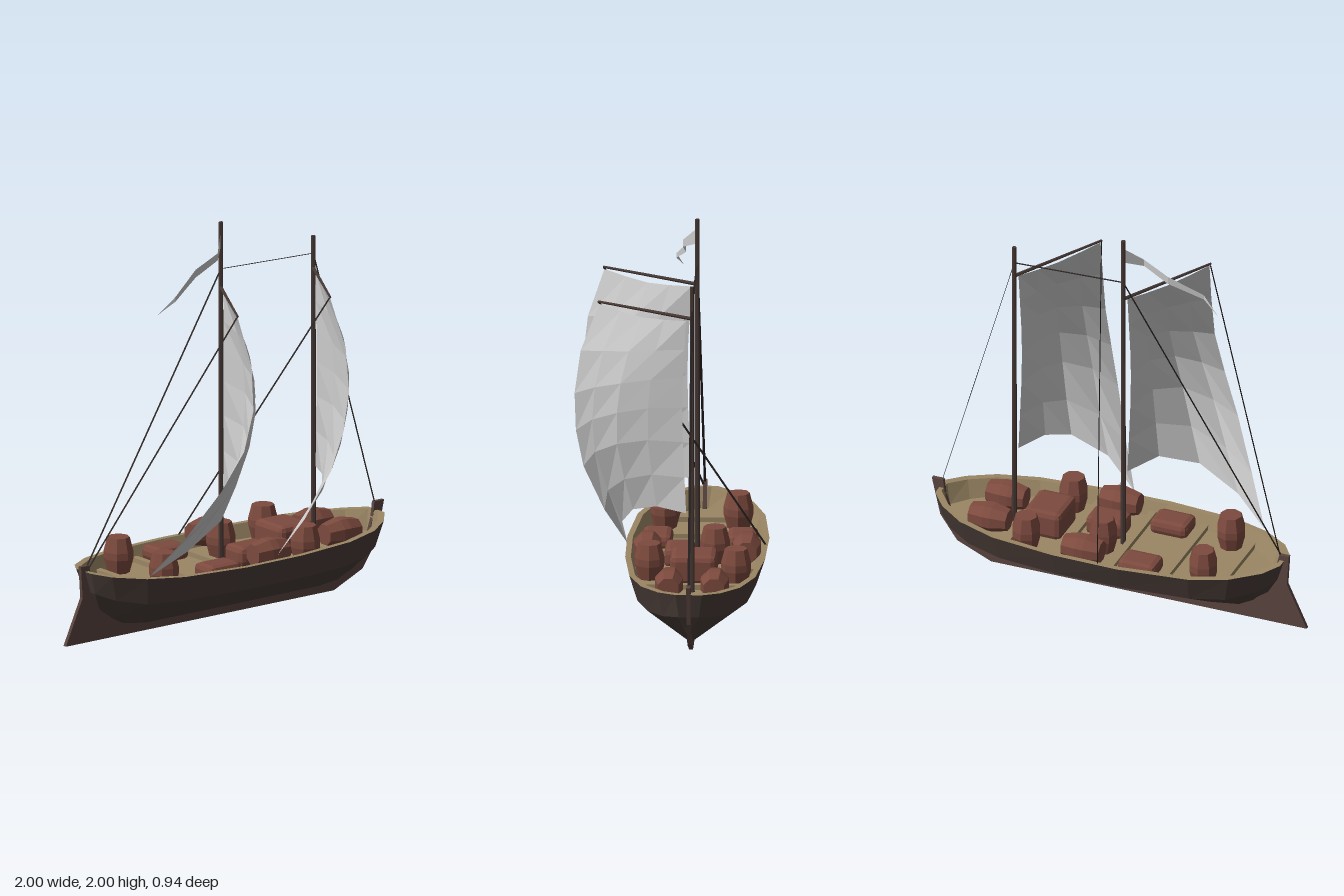
import * as THREE from 'three';
import { RoundedBoxGeometry } from 'three/addons/geometries/RoundedBoxGeometry.js';

const MID = -0.12; // z of the hull's centre line
const DECK = 0.26;
const V = (x, y, z) => new THREE.Vector3(x, y, z);
const mat = (color, side = THREE.FrontSide) => new THREE.MeshStandardMaterial({ color, flatShading: true, side });

// Surface through rows of points; rows may be closed loops
function loft(rows, closed = false) {
  const n = rows[0].length, idx = [];
  for (let r = 0; r < rows.length - 1; r++) {
    for (let i = 0; i < (closed ? n : n - 1); i++) {
      const j = (i + 1) % n, a = r * n + i, b = r * n + j, c = b + n, d = a + n;
      idx.push(a, b, c, a, c, d);
    }
  }
  const g = new THREE.BufferGeometry().setFromPoints(rows.flat());
  g.setIndex(idx);
  g.computeVertexNormals();
  return g;
}

// Closed ring round the hull from [x, y, halfWidth] stations
const ring = (st) => [
  ...st.map(([x, y, w]) => V(x, y, MID + w)),
  ...[...st].reverse().map(([x, y, w]) => V(x, y, MID - w)),
];

export function createModel() {
  const model = new THREE.Group();
  const hullMat = mat(0x4a3d38), keelMat = mat(0x5a4540), deckMat = mat(0x9a8664);
  const cargoMat = mat(0x7d4a3e), mastMat = mat(0x463833);
  const sailMat = mat(0xcccccc, THREE.DoubleSide), ropeMat = mat(0x2a2422, THREE.DoubleSide);
  const add = (name, geo, m, x = 0, y = 0, z = 0) => {
    const mesh = new THREE.Mesh(geo, m);
    mesh.name = name;
    mesh.position.set(x, y, z);
    model.add(mesh);
    return mesh;
  };

  // Hull outlines: bottom, chine and rim
  const rim = [[-0.88, 0.362, 0.06], [-0.82, 0.353, 0.15], [-0.68, 0.342, 0.25], [-0.49, 0.335, 0.315], [-0.13, 0.33, 0.35],
    [0.22, 0.33, 0.345], [0.55, 0.335, 0.31], [0.75, 0.343, 0.245], [0.88, 0.353, 0.155], [0.955, 0.364, 0.065]];
  const chine = [[-0.845, 0.25, 0.045], [-0.775, 0.22, 0.125], [-0.65, 0.2, 0.215], [-0.48, 0.2, 0.272], [-0.13, 0.2, 0.302],
    [0.22, 0.2, 0.302], [0.53, 0.2, 0.27], [0.72, 0.205, 0.208], [0.845, 0.22, 0.13], [0.925, 0.24, 0.05]];
  const bottom = [[-0.78, 0.14, 0], [-0.71, 0.09, 0], [-0.64, 0.052, 0], [-0.5, 0.032, 0], [-0.13, 0.032, 0],
    [0.22, 0.032, 0], [0.6, 0.032, 0], [0.7, 0.042, 0], [0.79, 0.08, 0], [0.88, 0.14, 0]];
  const inset = (d, y) => rim.map(([x, ry, w]) => [0.04 + (x - 0.04) * (1 - d * 0.9), y ?? ry, Math.max(w - d, 0.018)]);
  add('hull', loft([bottom, chine, rim].map(ring), true), hullMat);

  // Gunwale, inner wall and deck floor
  const floor = inset(0.055, DECK);
  add('deck', loft([rim, inset(0.028), floor, floor.map(([x, y]) => [x, y, 0])].map(ring), true), deckMat);
  [[-0.62, 0.235], [-0.34, 0.285], [-0.055, 0.3], [0.23, 0.295], [0.51, 0.265]].forEach(([x, w]) =>
    add('crossBeam', new THREE.BoxGeometry(0.035, 0.025, 2 * w), deckMat, x, DECK + 0.012, MID));

  // Keel, stem post and rudder in one thin plate
  const plate = new THREE.Shape([[-1, 0], [0.68, 0], [0.86, 0.08], [0.95, 0.21], [0.995, 0.41], [0.935, 0.41], [0.925, 0.33],
    [0.87, 0.16], [0.68, 0.06], [-0.5, 0.06], [-0.74, 0.14], [-0.82, 0.26], [-0.855, 0.39], [-0.905, 0.39], [-0.895, 0.23]]
    .map(([x, y]) => new THREE.Vector2(x, y)));
  add('keel', new THREE.ExtrudeGeometry(plate, { depth: 0.02, bevelEnabled: false }), keelMat, 0, 0, MID - 0.01);

  // Masts and yards
  const pole = (name, a, b, r0, r1) => {
    const m = add(name, new THREE.CylinderGeometry(r1, r0, a.distanceTo(b), 6), mastMat);
    m.position.copy(a).lerp(b, 0.5);
    m.quaternion.setFromUnitVectors(V(0, 1, 0), b.clone().sub(a).normalize());
  };
  [[-0.02, 2], [0.56, 1.83]].forEach(([x, top]) => {
    pole('mast', V(x, DECK, MID), V(x, top, MID), 0.013, 0.011);
    pole('yard', V(x, 1.665, MID), V(x - 0.27, 1.665, 0.355), 0.009, 0.006);
  });

  // Sails: patch between four edge curves, with a slight billow
  const curve = (pts) => new THREE.CatmullRomCurve3(pts.map((p) => V(...p)));
  function sail(mx, leech, foot) {
    const luff = curve([[mx - 0.01, 1.65, -0.09], [mx - 0.02, 1.2, -0.07], [mx - 0.01, 0.66, -0.09]]);
    const outer = curve(leech);
    const A = luff.getPoint(0), B = outer.getPoint(0), C = luff.getPoint(1), D = outer.getPoint(1);
    const head = curve([A.toArray(), A.clone().lerp(B, 0.5).add(V(0.01, -0.022, 0)).toArray(), B.toArray()]);
    const low = curve([C.toArray(), ...foot, D.toArray()]);
    const rows = [], N = 6, M = 4;
    for (let r = 0; r <= N; r++) {
      const v = r / N, row = [];
      for (let c = 0; c <= M; c++) {
        const u = c / M;
        const p = luff.getPoint(v).multiplyScalar(1 - u).addScaledVector(outer.getPoint(v), u)
          .addScaledVector(head.getPoint(u), 1 - v).addScaledVector(low.getPoint(u), v)
          .addScaledVector(A, -(1 - u) * (1 - v)).addScaledVector(B, -u * (1 - v))
          .addScaledVector(C, -(1 - u) * v).addScaledVector(D, -u * v);
        p.x += 0.02 * Math.sin(Math.PI * u) * Math.sin(Math.PI * v);
        row.push(p);
      }
      rows.push(row);
    }
    add('sail', loft(rows), sailMat);
  }
  sail(-0.02,
    [[-0.285, 1.655, 0.35], [-0.262, 1.42, 0.43], [-0.27, 1.2, 0.455], [-0.325, 1, 0.45], [-0.42, 0.8, 0.39], [-0.545, 0.56, 0.27], [-0.67, 0.35, 0.13]],
    [[-0.1, 0.67, 0.06], [-0.2, 0.635, 0.18], [-0.38, 0.54, 0.235], [-0.53, 0.445, 0.2]]);
  sail(0.56,
    [[0.295, 1.655, 0.35], [0.32, 1.42, 0.44], [0.318, 1.2, 0.47], [0.285, 1, 0.465], [0.235, 0.8, 0.43], [0.15, 0.55, 0.33], [0.06, 0.35, 0.22]],
    [[0.47, 0.67, 0.06], [0.38, 0.625, 0.18], [0.21, 0.51, 0.24]]);

  // Pennant: tapering ribbon [x, y, z, half height]
  const flag = [[-0.02, 1.915, MID, 0.04], [-0.1, 1.85, -0.045, 0.018], [-0.23, 1.785, -0.055, 0.02], [-0.4, 1.695, 0, 0.012], [-0.485, 1.625, -0.03, 0.001]];
  add('pennant', loft([-1, 1].map((s) => flag.map(([x, y, z, h]) => V(x, y + s * h, z)))), sailMat);

  // Rigging: flat strips, wide along z
  [
    [V(-0.02, 1.76, MID), V(0.56, 1.74, MID)],
    [V(0.56, 1.74, MID), V(0.95, 0.38, MID)],
    [V(-0.02, 1.76, MID), V(-0.87, 0.37, MID)],
    [V(-0.29, 1.66, 0.35), V(-0.86, 0.36, MID)],
    [V(0.29, 1.66, 0.35), V(-0.02, 0.33, -0.455)],
  ].forEach((ends) => add('rope', loft([-0.006, 0.006].map((s) => ends.map((p) => p.clone().add(V(0, 0, s))))), ropeMat));

  // Barrels, standing and lying
  const barrel = (h, r) => new THREE.LatheGeometry(
    [[0, -0.5], [0.75, -0.5], [1, -0.1], [1, 0.1], [0.75, 0.5], [0, 0.5]].map(([x, y]) => new THREE.Vector2(x * r, y * h)), 8);
  [[-0.52, -0.3], [-0.52, 0.06], [0.05, -0.21], [0.41, -0.33], [0.335, 0.1]].forEach(([x, z]) =>
    add('standingBarrel', barrel(0.18, 0.074), cargoMat, x, DECK + 0.09, z));
  [[0.09, -0.37, 0.02], [0.09, 0.12, 0.02], [0.64, -0.235, 0], [0.64, -0.01, 0]].forEach(([x, z, lift]) => {
    const b = add('lyingBarrel', barrel(0.2, 0.074), cargoMat, x, DECK + 0.068 + lift, z);
    b.rotation.set(Math.PI / 8, 0, Math.PI / 2);
  });

  // Crates
  [[-0.2, -0.335, 0.08, 0.15], [-0.2, 0.085, 0.08, 0.15], [0.09, -0.04, 0.1, 0.15], [0.37, -0.12, 0.15, 0.23]].forEach(([x, z, h, d]) =>
    add('crate', new RoundedBoxGeometry(0.2, h, d, 1, 0.028), cargoMat, x, DECK + h / 2, z));

  return model;
}
